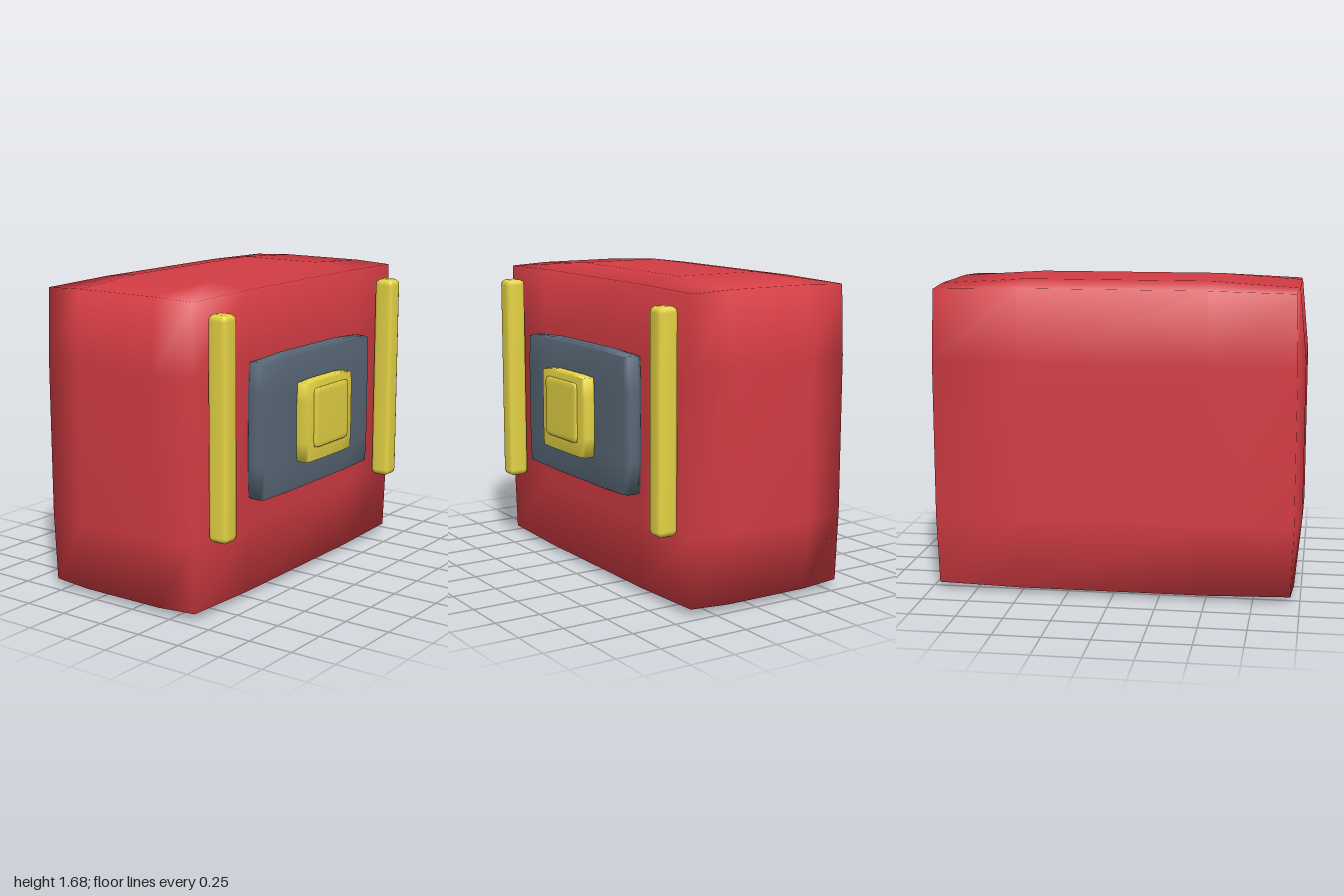
import * as THREE from 'three';
import { mergeVertices } from 'three/addons/utils/BufferGeometryUtils.js';

const red = new THREE.MeshStandardMaterial({ color: 0xd23c43 });
const slate = new THREE.MeshStandardMaterial({ color: 0x596877 });
const yellow = new THREE.MeshStandardMaterial({ color: 0xe6d445 });

// Softly bulging box: a 3x3x3 grid whose edges and corners are drawn inwards.
// min/max: extents, mid: inner grid line as half distance per axis, inset: corner pull per axis
function pillow(name, material, min, max, mid, inset) {
  let geo = new THREE.BoxGeometry(2, 2, 2, 3, 3, 3);
  geo.deleteAttribute('normal');
  geo.deleteAttribute('uv');
  geo = mergeVertices(geo, 1e-3);
  const pos = geo.attributes.position;
  const pull = [0, 0, 0.75, 1];
  for (let i = 0; i < pos.count; i++) {
    const v = [pos.getX(i), pos.getY(i), pos.getZ(i)];
    const outer = v.filter((c) => Math.abs(c) > 0.9).length;
    const p = v.map((c, a) => {
      const half = (max[a] - min[a]) / 2;
      const d = Math.abs(c) > 0.9 ? half - inset[a] * pull[outer] : mid[a];
      return (max[a] + min[a]) / 2 + Math.sign(c) * d;
    });
    pos.setXYZ(i, ...p);
  }
  geo.computeVertexNormals();
  const mesh = new THREE.Mesh(geo, material);
  mesh.name = name;
  return mesh;
}

export function createModel() {
  const model = new THREE.Group();
  model.name = 'backpack';

  // Main bag
  model.add(pillow('body', red, [-1, 0, -0.59], [1, 1.68, 0.4],
    [0.5, 0.425, 0.245], [0.05, 0.04, 0.025]));

  // Front plate with a raised button and its cap
  model.add(pillow('frontPlate', slate, [-0.535, 0.54, 0.39], [0.535, 1.3, 0.505],
    [0.28, 0.19, 0.025], [0.027, 0.02, 0.004]));
  model.add(pillow('button', yellow, [-0.225, 0.7, 0.495], [0.225, 1.145, 0.58],
    [0.115, 0.11, 0.025], [0.012, 0.01, 0.004]));
  model.add(pillow('buttonCap', yellow, [-0.165, 0.78, 0.56], [0.165, 1.105, 0.594],
    [0.13, 0.13, 0.008], [0.008, 0.008, 0.004]));

  // Upright straps on both sides
  for (const side of [-1, 1]) {
    const x = side * 0.81;
    model.add(pillow(side > 0 ? 'leftStrap' : 'rightStrap', yellow,
      [x - 0.055, 0.405, 0.393], [x + 0.055, 1.573, 0.51],
      [0.03, 0.552, 0.032], [0.011, 0.014, 0.011]));
  }
  return model;
}
